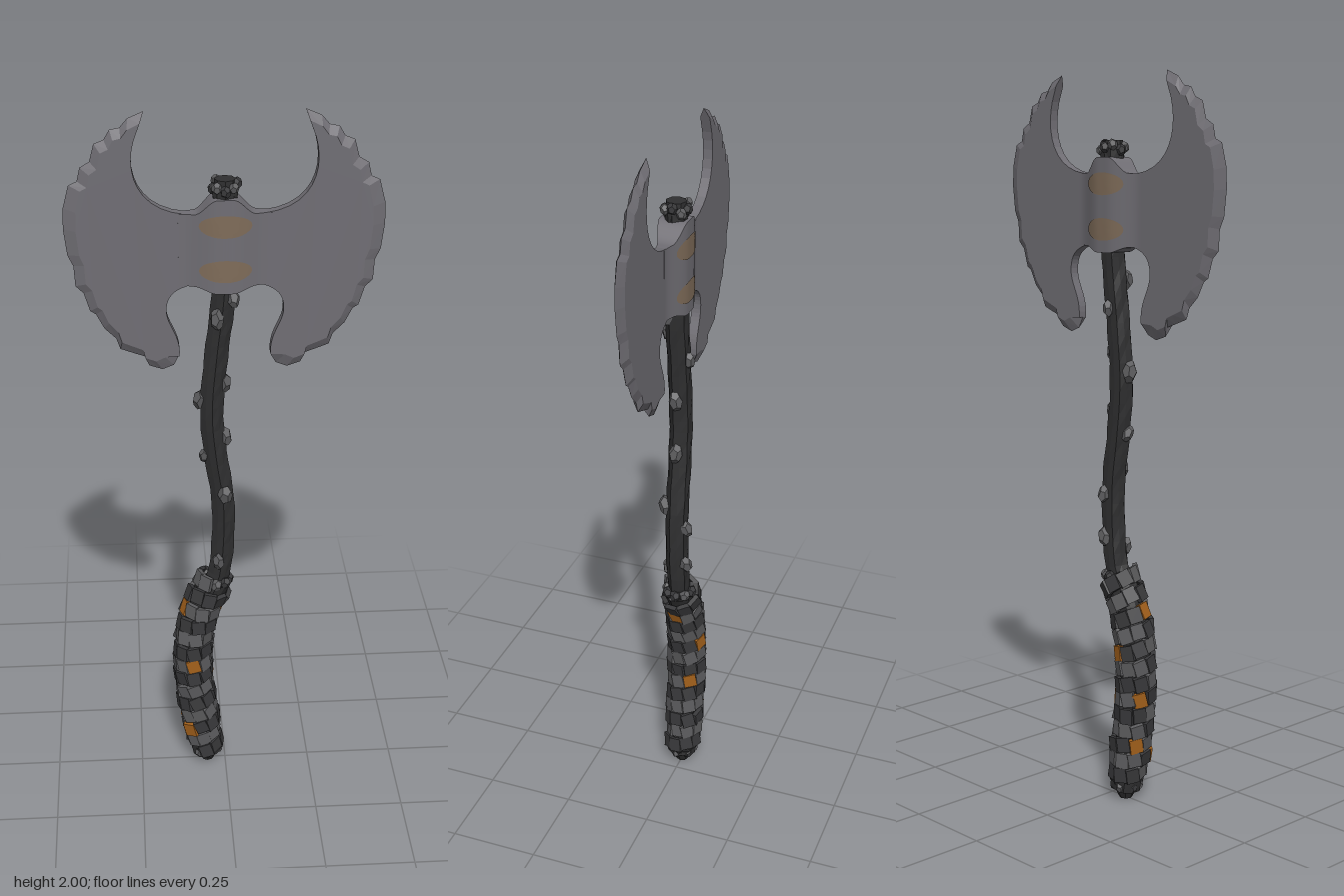
import * as THREE from 'three';

const mat = (name, color) => {
  const m = new THREE.MeshStandardMaterial({ color });
  m.name = name;
  return m;
};

export function createModel() {
  const root = new THREE.Group();
  const steel = mat('steel', 0x706e74);
  const wood = mat('dark wood', 0x2f2f30);
  const stone = mat('grey stone', 0x5c5c5e);
  const leather = mat('dark wrap', 0x39393b);
  const amber = mat('amber', 0xa5621c);
  const stain = mat('bronze stain', 0x7f6c59);

  let seed = 7;
  const rnd = (a, b) => {
    seed = (seed * 16807) % 2147483647;
    return a + (b - a) * (seed / 2147483647);
  };
  const add = (parent, name, geo, material) => {
    const m = new THREE.Mesh(geo, material);
    m.name = name;
    parent.add(m);
    return m;
  };
  const flat = (geo) => {
    const g = geo.index ? geo.toNonIndexed() : geo;
    g.computeVertexNormals();
    return g;
  };
  const group = (name) => {
    const g = new THREE.Group();
    g.name = name;
    root.add(g);
    return g;
  };

  // Bent centre line of the shaft, bottom to top
  const line = new THREE.CatmullRomCurve3([
    [-0.052, 0.02], [-0.075, 0.17], [-0.093, 0.33], [-0.087, 0.46], [-0.06, 0.57], [-0.022, 0.65],
    [-0.007, 0.76], [-0.006, 0.9], [-0.026, 1.05], [-0.036, 1.18], [-0.024, 1.34], [-0.003, 1.53], [0, 1.81],
  ].map(([x, y]) => new THREE.Vector3(x, y, 0)));
  const samples = line.getPoints(300);
  const centreX = (y) => {
    const i = Math.max(1, samples.findIndex((p) => p.y >= y));
    const a = samples[i - 1], b = samples[i];
    return a.x + (b.x - a.x) * THREE.MathUtils.clamp((y - a.y) / (b.y - a.y), 0, 1);
  };
  const lean = (y) => Math.atan2(centreX(y - 0.02) - centreX(y + 0.02), 0.04);

  // Tube along part of the shaft with ridged, uneven sides
  const shaftTube = (y0, y1, radius, steps, sides, ridge) => {
    const pts = Array.from({ length: 24 }, (_, i) => {
      const y = y0 + ((y1 - y0) * i) / 23;
      return new THREE.Vector3(centreX(y), y, 0);
    });
    const path = new THREE.CatmullRomCurve3(pts);
    const g = new THREE.TubeGeometry(path, steps, radius, sides);
    const pos = g.attributes.position;
    for (let i = 0; i <= steps; i++) {
      const c = path.getPointAt(i / steps);
      for (let j = 0; j <= sides; j++) {
        const k = i * (sides + 1) + j, a = j % sides;
        const s = 1 + ridge * ((a % 2 ? -1 : 1) + 0.6 * Math.sin(i * 1.9 + a * 2.3));
        const p = new THREE.Vector3().fromBufferAttribute(pos, k).sub(c).multiplyScalar(s).add(c);
        pos.setXYZ(k, p.x, p.y, p.z);
      }
    }
    return flat(g);
  };
  add(root, 'shaft', shaftTube(0.6, 1.8, 0.031, 34, 10, 0.07), wood);
  add(root, 'gripCore', shaftTube(0.03, 0.64, 0.043, 20, 10, 0.03), wood);

  // Faceted lumps
  const rock = (parent, name, x, y, z, sx, sy, sz, material = stone) => {
    const m = add(parent, name, flat(new THREE.DodecahedronGeometry(1, 0)), material);
    m.position.set(x, y, z);
    m.scale.set(sx, sy, sz);
    m.rotation.set(rnd(-0.4, 0.4), rnd(0, 3), rnd(-0.4, 0.4));
    return m;
  };

  // Knots on the shaft: height, angle round the shaft (0 = front), size
  const knots = group('shaftKnots');
  [[1.51, 0.9, 0.022], [1.455, -0.4, 0.024], [1.38, 3.0, 0.02], [1.26, 1.5, 0.024], [1.21, -1.6, 0.026],
    [1.1, 1.5, 0.024], [1.04, -1.5, 0.02], [0.93, 0.25, 0.026], [0.87, 2.9, 0.022], [0.75, 2.8, 0.023],
    [0.715, -0.3, 0.022]].forEach(([y, a, s]) =>
    rock(knots, 'knot', centreX(y) + Math.sin(a) * 0.031, y, Math.cos(a) * 0.031, s * 0.8, s * 1.25, s * 0.8));

  // Grip wrapping: a spiral of small slabs, alternate turns dark and grey
  const grip = group('gripWrap');
  const perTurn = 9, turns = 13, pitch = 0.0445;
  const slabBox = new THREE.BoxGeometry(0.037, 0.042, 0.013);
  const amberSlabs = [17, 24, 48, 51, 63, 76, 97, 101];
  for (let n = 0; n < perTurn * turns; n++) {
    const a = (n / perTurn) * Math.PI * 2;
    const y = 0.06 + (n / perTurn) * pitch + rnd(-0.004, 0.004);
    const dark = Math.floor(n / perTurn + 0.3) % 2 === 0;
    const material = amberSlabs.includes(n) ? amber : dark ? leather : stone;
    const holder = new THREE.Group();
    holder.name = 'wrapSlab';
    holder.position.set(centreX(y), y, 0);
    holder.rotation.z = lean(y);
    const turn = new THREE.Group();
    turn.rotation.y = a;
    const slab = add(turn, 'slab', slabBox, material);
    slab.position.z = (y < 0.12 ? 0.041 : 0.045) + rnd(0, 0.004) + (dark ? 0.002 : 0);
    slab.rotation.set(rnd(-0.1, 0.1), rnd(-0.12, 0.12), 0.2 + rnd(-0.1, 0.1));
    holder.add(turn);
    grip.add(holder);
  }
  // Collar where the grip meets the shaft
  for (let i = 0; i < 8; i++) {
    const a = (i / 8) * Math.PI * 2;
    rock(grip, 'collarLump', centreX(0.64) + Math.sin(a) * 0.035, 0.64, Math.cos(a) * 0.035,
      0.016, 0.018, 0.016, i % 3 ? leather : stone);
  }

  // Pommel
  const pommel = add(root, 'pommel', flat(new THREE.CylinderGeometry(0.046, 0.018, 0.055, 8)), wood);
  pommel.position.set(-0.053, 0.0275, 0);
  const pommelLumps = group('pommelLumps');
  for (let i = 0; i < 6; i++) {
    const a = (i / 6) * Math.PI * 2 + 0.3;
    rock(pommelLumps, 'lump', -0.055 + Math.sin(a) * 0.034, 0.038, Math.cos(a) * 0.034, 0.013, 0.016, 0.013,
      i % 2 ? stone : leather);
  }

  // Knob above the head
  const knob = group('topKnob');
  const cap = add(knob, 'cap', flat(new THREE.CylinderGeometry(0.027, 0.032, 0.06, 8)), wood);
  cap.position.y = 1.795;
  for (let i = 0; i < 8; i++) {
    const a = (i / 8) * Math.PI * 2;
    rock(knob, 'knobLump', Math.sin(a) * 0.03, 1.806 + 0.007 * (i % 3 - 1), Math.cos(a) * 0.03,
      0.014, 0.016, 0.014, i % 2 ? stone : leather);
  }

  // One blade: concave inner edges, chipped outer edge
  const blade = new THREE.Shape();
  blade.moveTo(0, 1.545);
  blade.lineTo(0.09, 1.545);
  blade.bezierCurveTo(0.13, 1.535, 0.157, 1.515, 0.152, 1.465);
  blade.bezierCurveTo(0.148, 1.43, 0.115, 1.4, 0.12, 1.345);
  [[0.135, 1.315], [0.165, 1.303], [0.2, 1.315], [0.207, 1.34], [0.235, 1.35], [0.275, 1.365], [0.285, 1.395],
    [0.315, 1.425], [0.335, 1.465], [0.35, 1.475], [0.365, 1.525], [0.385, 1.545], [0.388, 1.6], [0.402, 1.63],
    [0.41, 1.7], [0.408, 1.755], [0.392, 1.815], [0.37, 1.825], [0.362, 1.86], [0.337, 1.875], [0.325, 1.92],
    [0.3, 1.93], [0.285, 1.955], [0.26, 1.96], [0.24, 1.983], [0.2, 2.0], [0.226, 1.93]]
    .forEach(([x, y]) => blade.lineTo(x, y));
  blade.bezierCurveTo(0.25, 1.85, 0.225, 1.75, 0.1, 1.737);
  blade.lineTo(0, 1.737);
  const half = 0.013;
  let bladeGeo = new THREE.ExtrudeGeometry(blade, { depth: half * 2, steps: 2, bevelEnabled: false, curveSegments: 10 });
  bladeGeo.translate(0, 0, -half);
  // Draw the faces back from the outer rim so it comes to a cutting edge
  const bp = bladeGeo.attributes.position;
  for (let i = 0; i < bp.count; i++) {
    const x = bp.getX(i), y = bp.getY(i);
    if (Math.abs(bp.getZ(i)) > 0.005 && Math.hypot(x - 0.05, y - 1.66) > 0.335) {
      bp.setXY(i, 0.25 + (x - 0.25) * 0.8, 1.66 + (y - 1.66) * 0.92);
    }
  }
  bladeGeo = flat(bladeGeo);
  add(root, 'leftBlade', bladeGeo, steel);
  add(root, 'rightBlade', bladeGeo, steel).rotation.y = Math.PI;

  // Swollen socket joining the two blades
  const fall = (x, a, b) => 1 - THREE.MathUtils.smoothstep(Math.abs(x), a, b);
  const swell = (x) => 0.0134 + 0.025 * fall(x, 0.015, 0.115);
  const socket = new THREE.BoxGeometry(0.24, 1, 1, 32, 1, 1);
  const sp = socket.attributes.position;
  for (let i = 0; i < sp.count; i++) {
    const x = sp.getX(i);
    const y = sp.getY(i) > 0 ? 1.738 + 0.042 * fall(x, 0.02, 0.08) : 1.544 - 0.016 * fall(x, 0.02, 0.08);
    sp.setXYZ(i, x, y, Math.sign(sp.getZ(i)) * swell(x));
  }
  socket.computeVertexNormals();
  add(root, 'socket', socket, steel);

  // Bronze ovals following the socket, front and back
  for (const y of [1.71, 1.59]) {
    const oval = new THREE.RingGeometry(0.001, 1, 28, 8);
    const op = oval.attributes.position;
    for (let i = 0; i < op.count; i++) {
      const x = op.getX(i) * 0.068;
      op.setXYZ(i, x, y + op.getY(i) * 0.03, swell(x) + 0.002);
    }
    oval.computeVertexNormals();
    add(root, 'frontOval', oval, stain);
    add(root, 'backOval', oval, stain).rotation.y = Math.PI;
  }
  return root;
}
